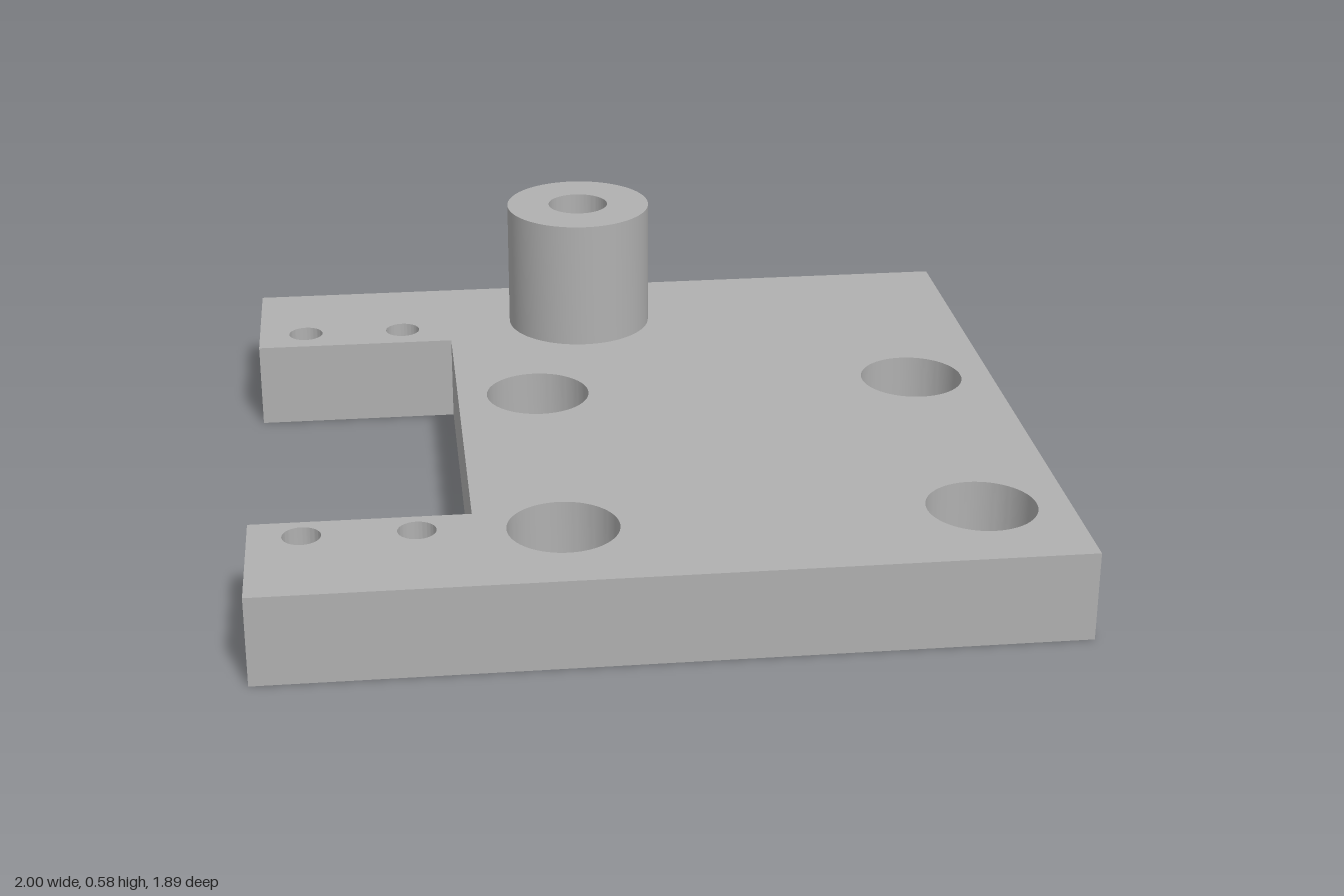
import * as THREE from 'three';
import { toCreasedNormals } from 'three/addons/utils/BufferGeometryUtils.js';

const TOP = 0.23, FLOOR = 0.06, BOSS_TOP = 0.58;
const HALF_Z = 0.945, NOTCH_X = -0.46, NOTCH_BACK = -0.55, NOTCH_FRONT = 0.57;
const NUT_R = 0.09, NUT_A = 0.078;
const boss = { x: -0.085, z: -0.678, r: 0.2, bore: 0.083 };
const bolts = [[-0.245, -0.145], [0.78, -0.145], [-0.245, 0.665], [0.78, 0.665]];
const screwX = [-0.87, -0.595], screwZ = 0.645;

function circle(x, z, r, Type = THREE.Path) {
  const p = new Type();
  p.absarc(x, z, r, 0, Math.PI * 2, false);
  return p;
}

// Hexagonal nut pocket with flats facing front and back
function hexagon(x, z) {
  const pts = [];
  for (let i = 0; i < 6; i++) {
    const a = i * Math.PI / 3;
    pts.push(new THREE.Vector2(x + NUT_R * Math.cos(a), z + NUT_R * Math.sin(a)));
  }
  return new THREE.Path(pts);
}

// Plate outline in x, z; front nut pockets can break through the notch wall
function plateShape(openPockets) {
  const pts = [[-1, -HALF_Z], [1, -HALF_Z], [1, HALF_Z], [-1, HALF_Z], [-1, NOTCH_FRONT]];
  if (openPockets) {
    for (const x of screwX) {
      const h = NUT_R / 2;
      pts.push([x - 0.047, NOTCH_FRONT], [x - NUT_R, screwZ], [x - h, screwZ + NUT_A],
        [x + h, screwZ + NUT_A], [x + NUT_R, screwZ], [x + 0.047, NOTCH_FRONT]);
    }
  }
  pts.push([NOTCH_X, NOTCH_FRONT], [NOTCH_X, NOTCH_BACK], [-1, NOTCH_BACK]);
  return new THREE.Shape(pts.map(([x, z]) => new THREE.Vector2(x, z)));
}

// Extrude an x, z shape between two heights
function slab(name, shape, y0, y1, material) {
  const geo = new THREE.ExtrudeGeometry(shape, { depth: y1 - y0, bevelEnabled: false, curveSegments: 48 });
  geo.rotateX(Math.PI / 2);
  geo.translate(0, y1, 0);
  const mesh = new THREE.Mesh(toCreasedNormals(geo, 0.5), material);
  mesh.name = name;
  return mesh;
}

export function createModel() {
  const group = new THREE.Group();
  group.name = 'mountingPlate';
  const grey = new THREE.MeshStandardMaterial({ color: 0xb0b0b0 });
  grey.name = 'grey';

  // Lower layer: bolt holes and nut pockets
  const lower = plateShape(true);
  lower.holes.push(circle(boss.x, boss.z, boss.bore));
  for (const [x, z] of bolts) lower.holes.push(circle(x, z, 0.075));
  for (const x of screwX) lower.holes.push(hexagon(x, -screwZ));
  group.add(slab('plateLower', lower, 0, FLOOR, grey));

  // Upper layer: counterbores and screw holes
  const upper = plateShape(false);
  upper.holes.push(circle(boss.x, boss.z, boss.bore));
  for (const [x, z] of bolts) upper.holes.push(circle(x, z, 0.137));
  for (const x of screwX) for (const s of [-1, 1]) upper.holes.push(circle(x, s * screwZ, 0.047));
  group.add(slab('plateUpper', upper, FLOOR, TOP, grey));

  // Bored boss
  const ring = circle(boss.x, boss.z, boss.r, THREE.Shape);
  ring.holes.push(circle(boss.x, boss.z, boss.bore));
  group.add(slab('boss', ring, TOP, BOSS_TOP, grey));

  return group;
}
